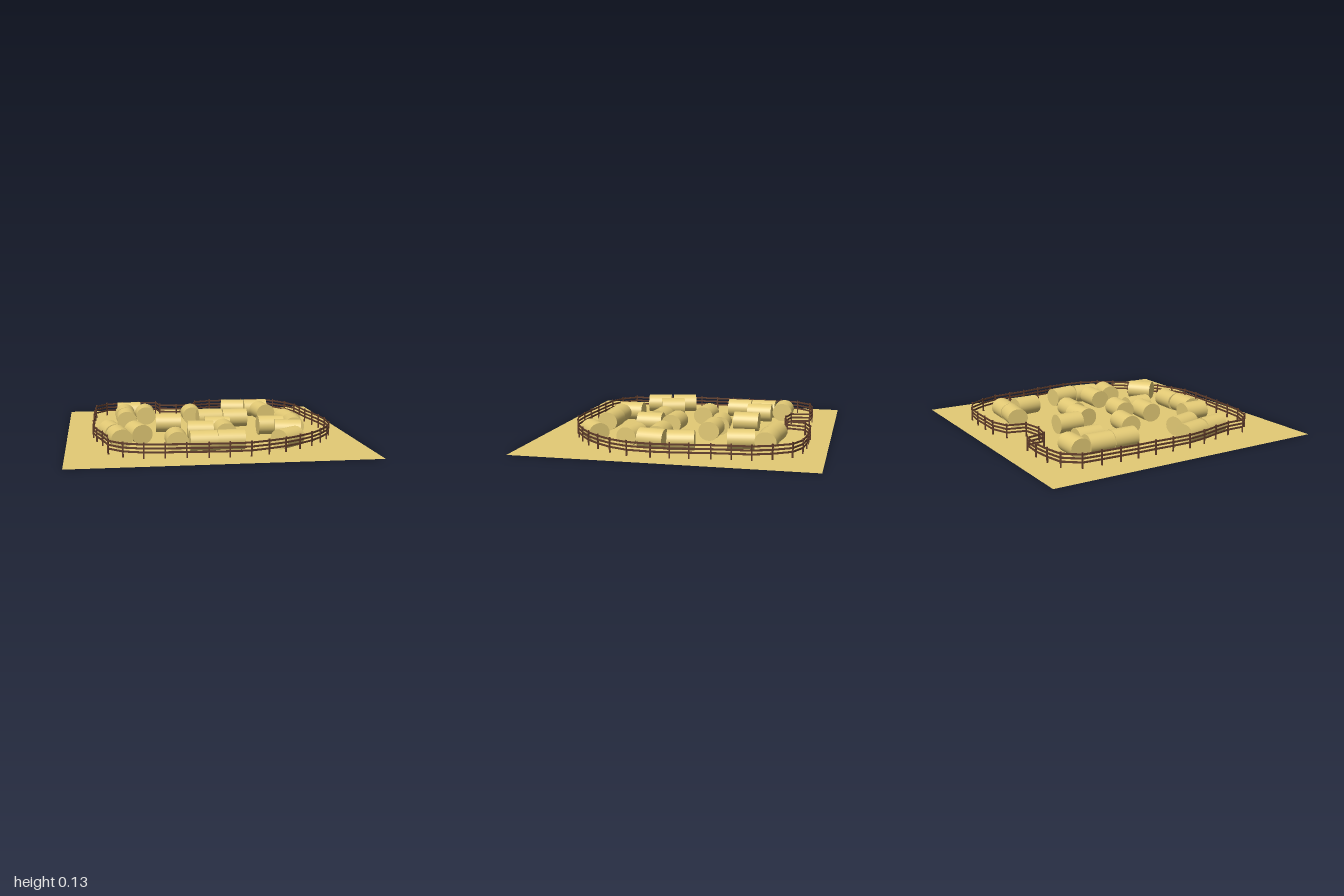
import * as THREE from 'three';

const straw = new THREE.MeshStandardMaterial({ color: 0xe3ca75, side: THREE.DoubleSide });
straw.name = 'straw';
const wood = new THREE.MeshStandardMaterial({ color: 0x623e2b });
wood.name = 'darkWood';

// Bales: x, z, heading of the roll axis in degrees (0 = along x, 90 = along z)
const BALES = [
  [-0.536, -0.6, 0], [-0.572, -0.444, 91], [-0.416, -0.433, 90], [-0.567, -0.258, 90],
  [-0.064, -0.386, 90], [0.054, -0.214, -4], [0.242, -0.187, 2], [-0.272, -0.043, 5],
  [0.3, -0.626, 8.5], [0.483, -0.612, 3], [0.508, -0.438, 82], [0.623, -0.059, 81],
  [0.614, 0.136, 97], [0.447, 0.133, 0.5], [0.538, 0.299, 11], [0.062, 0.122, 4],
  [-0.077, 0.262, 4], [0.091, 0.293, 90], [-0.272, 0.545, 90], [-0.101, 0.604, 1],
  [0.083, 0.597, 2], [0.468, 0.59, -39], [-0.69, 0.224, 76], [-0.51, 0.278, 74],
  [-0.644, 0.417, 80],
];

// Fence posts in order around the field: x, z
const POSTS = [
  [-0.307, -0.82], [-0.45, -0.83], [-0.58, -0.818], [-0.706, -0.792], [-0.792, -0.687],
  [-0.8, -0.553], [-0.805, -0.42], [-0.81, -0.291], [-0.81, -0.158], [-0.815, -0.024],
  [-0.816, 0.11], [-0.792, 0.249], [-0.755, 0.377], [-0.723, 0.511], [-0.722, 0.642],
  [-0.632, 0.738], [-0.503, 0.787], [-0.37, 0.8], [-0.233, 0.81], [-0.094, 0.82],
  [0.04, 0.824], [0.179, 0.821], [0.302, 0.778], [0.425, 0.725], [0.537, 0.655],
  [0.639, 0.575], [0.725, 0.479], [0.8, 0.372], [0.853, 0.243], [0.867, 0.083],
  [0.858, -0.04], [0.842, -0.163], [0.821, -0.297], [0.81, -0.425], [0.8, -0.553],
  [0.751, -0.677], [0.676, -0.794], [0.553, -0.848], [0.414, -0.862], [0.281, -0.862],
  [0.147, -0.862], [0.019, -0.816], [-0.013, -0.685], [-0.152, -0.658], [-0.284, -0.687],
];

function add(parent, name, geometry, material, x, y, z, turn = 0) {
  const mesh = new THREE.Mesh(geometry, material);
  mesh.name = name;
  mesh.position.set(x, y, z);
  mesh.rotation.y = turn;
  parent.add(mesh);
}

export function createModel() {
  const model = new THREE.Group();
  model.name = 'hayField';

  // Flat square of ground
  const plane = new THREE.PlaneGeometry(2, 2).rotateX(-Math.PI / 2);
  add(model, 'ground', plane, straw, 0, 0, 0);

  // Round bales lying on their sides, slightly flattened by their weight
  const bales = new THREE.Group();
  bales.name = 'hayBales';
  const baleGeo = new THREE.CylinderGeometry(0.073, 0.073, 0.18, 32)
    .rotateZ(Math.PI / 2).scale(1, 0.915, 1);
  for (const [x, z, deg] of BALES) {
    add(bales, 'hayBale', baleGeo, straw, x, 0.0675, z, -THREE.MathUtils.degToRad(deg));
  }
  model.add(bales);

  // Post and rail fence: each post carries three rails to the next one
  const fence = new THREE.Group();
  fence.name = 'fence';
  const postGeo = new THREE.BoxGeometry(0.009, 0.103, 0.009);
  POSTS.forEach(([x, z], i) => {
    const [nx, nz] = POSTS[(i + 1) % POSTS.length];
    const turn = -Math.atan2(nz - z, nx - x);
    add(fence, 'fencePost', postGeo, wood, x, 0.0525, z, turn);
    const railGeo = new THREE.BoxGeometry(Math.hypot(nx - x, nz - z) + 0.004, 0.012, 0.006);
    for (const y of [0.04, 0.065, 0.091]) {
      add(fence, 'fenceRail', railGeo, wood, (x + nx) / 2, y, (z + nz) / 2, turn);
    }
  });
  model.add(fence);

  return model;
}
